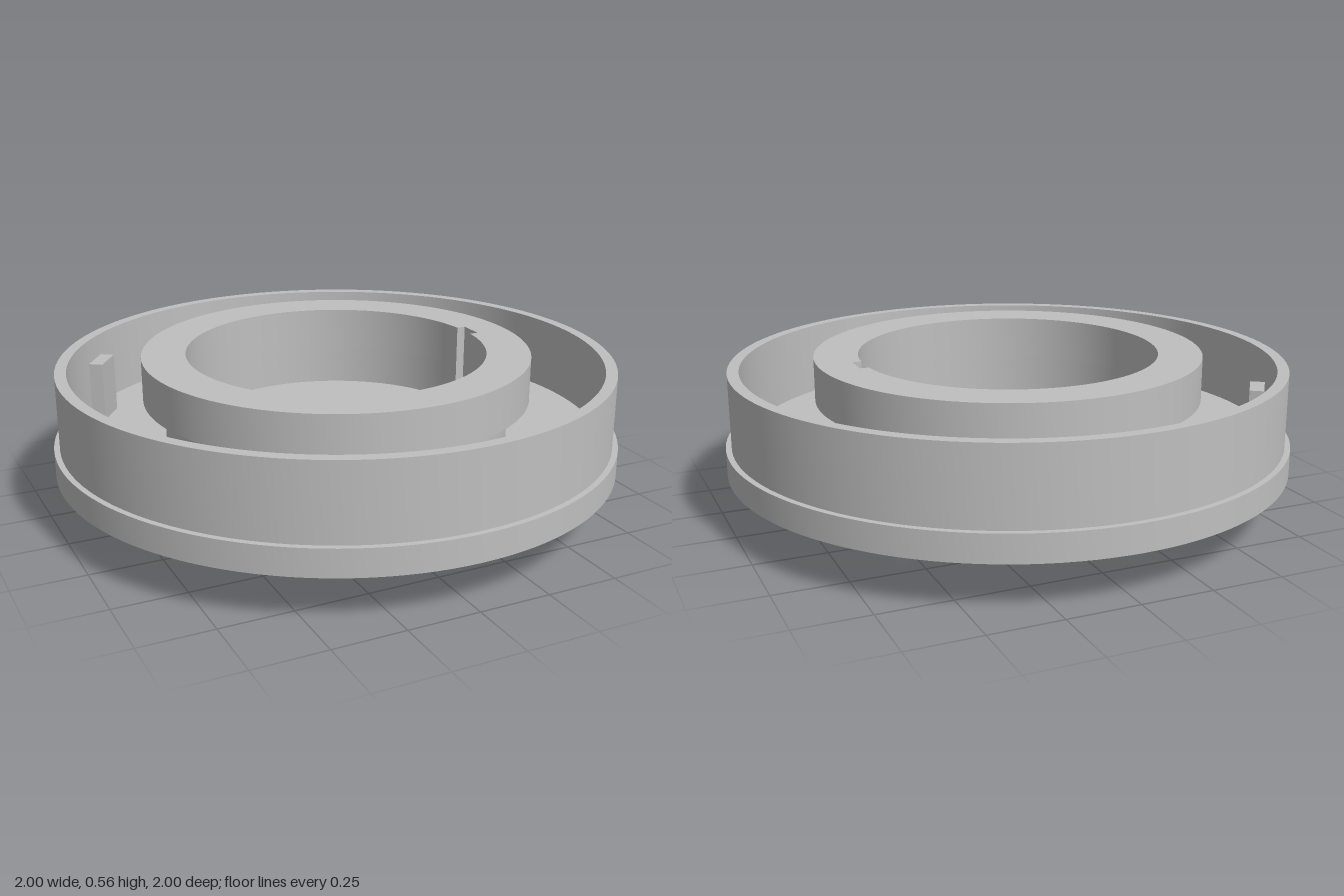
import * as THREE from 'three';
import { toCreasedNormals } from 'three/addons/utils/BufferGeometryUtils.js';

export function createModel() {
  const model = new THREE.Group();
  model.name = 'roundHousing';
  const grey = new THREE.MeshStandardMaterial({ color: 0xbfbfbf });
  grey.name = 'plain grey';

  const add = (name, geometry) => {
    const mesh = new THREE.Mesh(geometry, grey);
    mesh.name = name;
    model.add(mesh);
    return mesh;
  };
  const circle = (x, y, r) => new THREE.Shape().absarc(x, y, r, 0, Math.PI * 2, false);
  const polygon = (pts) => new THREE.Shape(pts.map(([x, y]) => new THREE.Vector2(x, y)));
  // Plan shape (x, -z) with holes, raised from y0 to y1
  const slab = (name, shape, holes, y0, y1) => {
    shape.holes.push(...holes);
    const geo = new THREE.ExtrudeGeometry(shape, { depth: y1 - y0, bevelEnabled: false, curveSegments: 64 });
    geo.rotateX(-Math.PI / 2).translate(0, y0, 0);
    return add(name, toCreasedNormals(geo, 0.5));
  };

  const BASE = 0.165, SLOT = 0.2, FLOOR = 0.26, HALF = 0.045;

  // Outer wall with a wider foot band
  const profile = [
    [0.94, BASE], [1, BASE], [1, FLOOR], [0.98, FLOOR],
    [0.98, 0.525], [0.94, 0.525], [0.94, BASE],
  ].map(([x, y]) => new THREE.Vector2(x, y));
  add('outerWall', toCreasedNormals(new THREE.LatheGeometry(profile, 128), 0.5));

  // Floor: bore, four mounting holes, pin hole; the slot is cut in the upper layer only
  const bores = () => {
    const holes = [circle(0, 0, 0.21)];
    for (const sx of [-1, 1]) for (const sz of [-1, 1]) holes.push(circle(sx * 0.5, sz * 0.565, 0.045));
    return holes;
  };
  const slot = polygon([[0.31, -HALF], [0.56, -HALF], [0.56, HALF], [0.31, HALF]]);
  slab('floorLower', circle(0, 0, 0.94), [...bores(), circle(0.35, 0, 0.03)], BASE, SLOT);
  slab('floorUpper', circle(0, 0, 0.94), [...bores(), slot], SLOT, FLOOR);

  // Inner ring: narrow neck under a wider flange, both with a key groove inside
  const keyedBore = () => {
    const a = Math.asin(HALF / 0.53);
    const path = new THREE.Path().absarc(0, 0, 0.53, a, Math.PI * 2 - a, false);
    return path.lineTo(0.56, -HALF).lineTo(0.56, HALF).closePath();
  };
  slab('ringNeck', circle(0, 0, 0.61), [keyedBore()], FLOOR, 0.4);
  slab('ringFlange', circle(0, 0, 0.685), [keyedBore()], 0.4, 0.555);

  // Two stop blocks beside the wall
  for (const side of [-1, 1]) {
    const block = add('stopBlock', new THREE.BoxGeometry(0.05, 0.21, 0.125));
    block.position.set(side * 0.715, FLOOR + 0.105, -0.505);
    block.rotation.y = Math.atan2(0.505, side * 0.715);
  }

  // Two clip plates underneath, each with a round bulge around its hole
  for (const x of [-0.52, 0.35]) {
    const w = 0.07, l = 0.19, r = 0.09, a = Math.acos(w / r);
    const outline = new THREE.Shape().moveTo(-w, -l).lineTo(w, -l);
    outline.absarc(0, 0, r, -a, a, false);
    outline.lineTo(w, l).lineTo(-w, l);
    outline.absarc(0, 0, r, Math.PI - a, Math.PI + a, false);
    outline.closePath();
    slab('clipPlate', outline, [circle(0, 0, 0.03)], 0.135, BASE).position.x = x;
  }

  // L-shaped hook underneath
  const hook = polygon([[0.43, 0], [0.62, 0], [0.62, BASE], [0.54, BASE], [0.54, 0.11], [0.43, 0.11]]);
  const hookGeo = new THREE.ExtrudeGeometry(hook, { depth: 0.38, bevelEnabled: false });
  add('hook', hookGeo.translate(0, 0, -0.19));

  return model;
}
